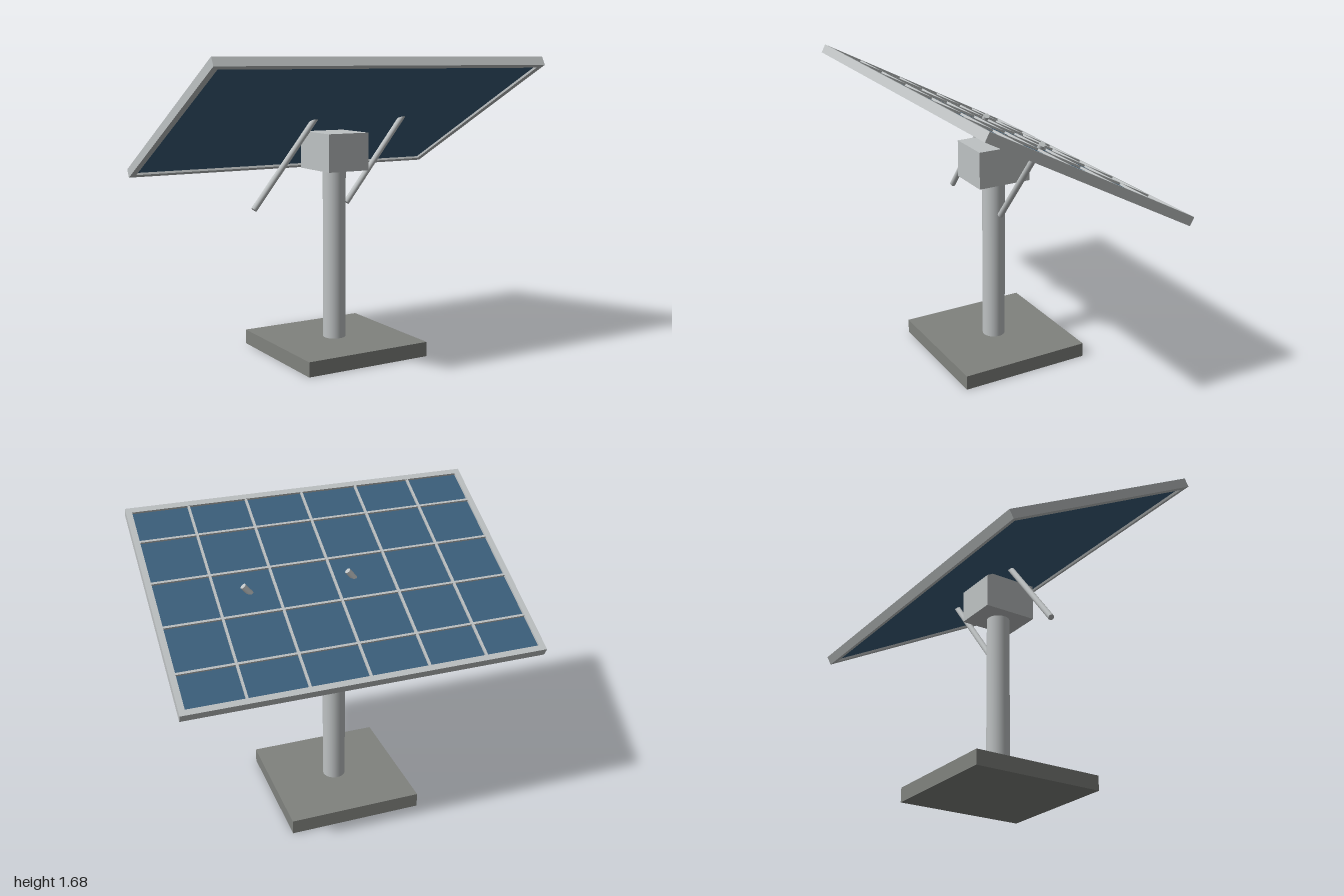
import * as THREE from 'three';

export function createModel() {
  const model = new THREE.Group();
  model.name = 'solarPanel';

  const material = (name, color) => {
    const m = new THREE.MeshStandardMaterial({ color });
    m.name = name;
    return m;
  };
  const metal = material('lightMetal', 0xbec2c3);
  const concrete = material('concrete', 0x80827e);
  const glass = material('blueCells', 0x3c607d);

  const add = (parent, name, geometry, mat, x = 0, y = 0, z = 0) => {
    const mesh = new THREE.Mesh(geometry, mat);
    mesh.name = name;
    mesh.position.set(x, y, z);
    parent.add(mesh);
    return mesh;
  };
  const box = (w, h, d) => new THREE.BoxGeometry(w, h, d);

  // Stand: slab, post and mounting head
  add(model, 'base', box(0.76, 0.083, 0.76), concrete, 0, 0.0415, 0);
  add(model, 'post', new THREE.CylinderGeometry(0.065, 0.065, 1.05, 24), metal, 0, 0.535, 0);
  add(model, 'mountHead', box(0.254, 0.21, 0.314), metal, 0, 1.155, 0);

  // Parallel slanted struts that poke through the panel
  for (const x of [-0.293, 0.293]) {
    const strut = add(model, 'strut', new THREE.CylinderGeometry(0.017, 0.017, 0.685, 16), metal, x, 1.123, 0);
    strut.rotation.z = -0.673;
  }

  // Tilted panel, high at the front
  const panel = new THREE.Group();
  panel.name = 'panel';
  panel.position.y = 1.339;
  panel.rotation.x = -THREE.MathUtils.degToRad(28);
  model.add(panel);

  const W = 2, D = 1.34, T = 0.051, bar = 0.033;
  const rectangle = (PathType, w, d) => new PathType([
    [-w, -d], [w, -d], [w, d], [-w, d],
  ].map(([x, y]) => new THREE.Vector2(x / 2, y / 2)));

  // Rim with an open centre
  const rim = rectangle(THREE.Shape, W, D);
  rim.holes.push(rectangle(THREE.Path, W - 2 * bar, D - 2 * bar));
  const rimGeometry = new THREE.ExtrudeGeometry(rim, { depth: T, bevelEnabled: false });
  rimGeometry.translate(0, 0, -T / 2).rotateX(-Math.PI / 2);
  add(panel, 'frame', rimGeometry, metal);

  // Recessed cell sheet and raised grid
  const innerW = W - 2 * bar, innerD = D - 2 * bar;
  add(panel, 'cells', box(innerW, 0.025, innerD), glass);
  for (let i = -2; i <= 2; i++) {
    add(panel, 'columnDivider', box(0.013, 0.012, innerD), metal, i * 0.3275, 0.0185, 0);
  }
  for (let i = -1.5; i <= 1.5; i++) {
    add(panel, 'rowDivider', box(innerW, 0.012, 0.013), metal, 0, 0.0183, i * 0.2855);
  }

  return model;
}
